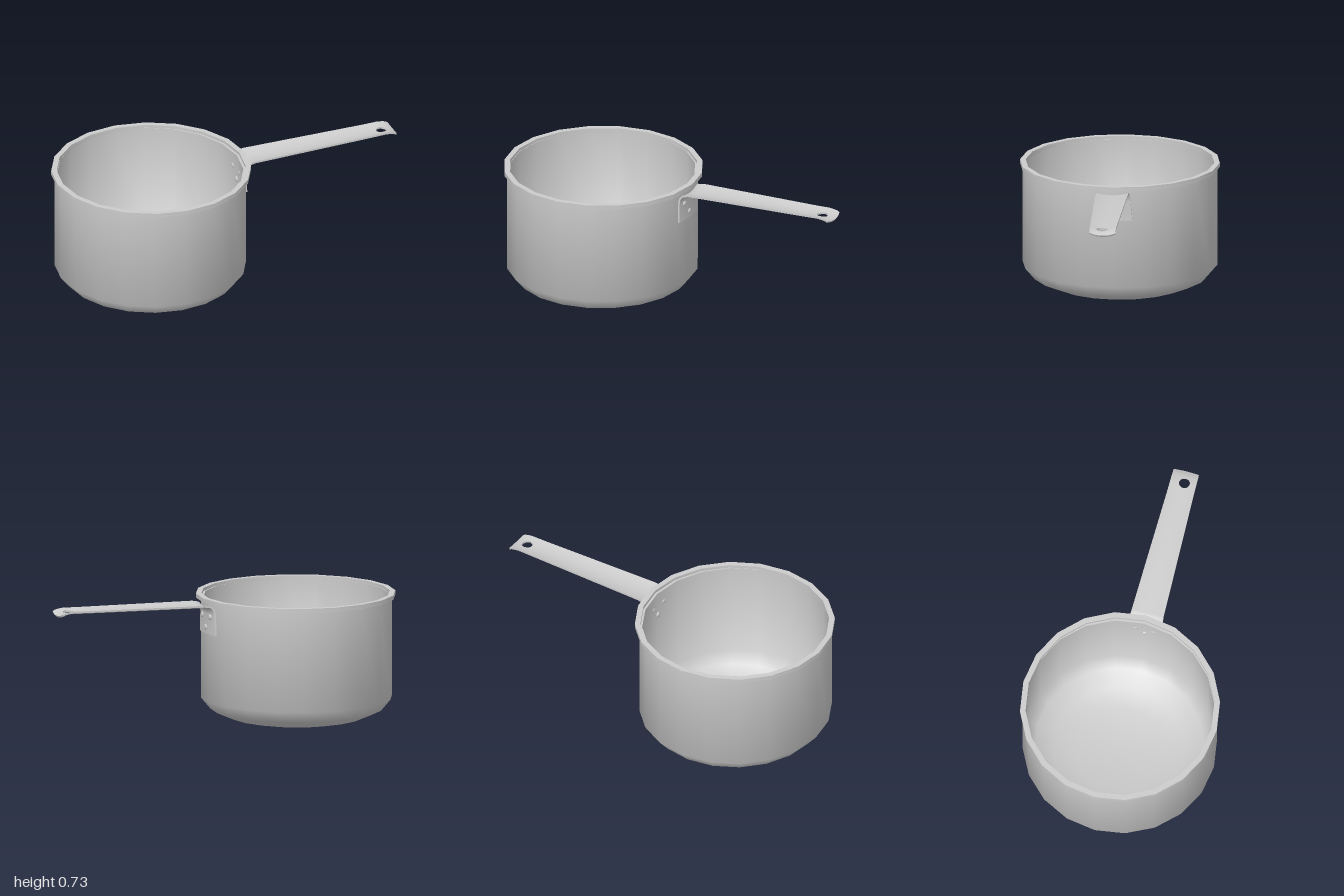
import * as THREE from 'three';
import { toCreasedNormals } from 'three/addons/utils/BufferGeometryUtils.js';

const material = new THREE.MeshStandardMaterial({ color: 0xcccccc, side: THREE.DoubleSide });

function part(name, geometry, parent) {
  const mesh = new THREE.Mesh(geometry, material);
  mesh.name = name;
  parent.add(mesh);
  return mesh;
}

function lathe(profile, sides) {
  const points = profile.map(([r, y]) => new THREE.Vector2(r, y));
  return toCreasedNormals(new THREE.LatheGeometry(points, sides), 0.8);
}

// Handle stations: u, x, y, slope in degrees, left z, right z, edge lift
const stations = [
  [-0.06, 0.09, 0.53, 90, 0.105, -0.108, 0.009],
  [0.06, 0.09, 0.645, 90, 0.102, -0.096, 0.009],
  [0.09, 0.094, 0.667, 70, 0.1, -0.092, 0.01],
  [0.11, 0.107, 0.679, 35, 0.097, -0.09, 0.013],
  [0.14, 0.14, 0.683, 4, 0.093, -0.089, 0.014],
  [0.85, 0.85, 0.702, 2, 0.069, -0.08, 0.012],
  [0.93, 0.93, 0.705, 0, 0.067, -0.08, 0.012],
  [0.97, 0.97, 0.701, -12, 0.066, -0.08, 0.011],
  [1, 0.997, 0.69, -30, 0.063, -0.08, 0.008],
];

// Point on the bent sheet: u along it, v from -1 to 1 across it, side +1 or -1
function sheetPoint(u, v, side) {
  let i = 0;
  while (i < stations.length - 2 && u > stations[i + 1][0]) i++;
  const a = stations[i], b = stations[i + 1];
  const t = (u - a[0]) / (b[0] - a[0]);
  const [, x, y, slope, left, right, lift] = a.map((n, k) => THREE.MathUtils.lerp(n, b[k], t));
  const angle = THREE.MathUtils.degToRad(slope);
  const offset = lift * v * v + side * 0.005;
  return [x - Math.sin(angle) * offset, y + Math.cos(angle) * offset,
    THREE.MathUtils.lerp(right, left, (v + 1) / 2)];
}

// Skin closed loops of points; optionally join last to first or cap the ends
function loft(loops, closed) {
  const n = loops[0].length, m = loops.length, index = [];
  const quad = (a, b, c, d) => index.push(a, b, c, a, c, d);
  for (let i = 0; i < (closed ? m : m - 1); i++) {
    const next = (i + 1) % m;
    for (let j = 0; j < n; j++) {
      const k = (j + 1) % n;
      quad(i * n + j, i * n + k, next * n + k, next * n + j);
    }
  }
  if (!closed) {
    const e = (m - 1) * n;
    for (let j = 0; j < n / 2 - 1; j++) {
      quad(j, n - 1 - j, n - 2 - j, j + 1);
      quad(e + j, e + j + 1, e + n - 2 - j, e + n - 1 - j);
    }
  }
  const geometry = new THREE.BufferGeometry();
  geometry.setAttribute('position', new THREE.Float32BufferAttribute(loops.flat(2), 3));
  geometry.setIndex(index);
  return toCreasedNormals(geometry, 0.8);
}

// Top points in order, then the underside points in reverse
const thickLoop = (uv) => [
  ...uv.map(([u, v]) => sheetPoint(u, v, 1)),
  ...uv.slice().reverse().map(([u, v]) => sheetPoint(u, v, -1)),
];

export function createModel() {
  const model = new THREE.Group();
  model.name = 'saucepan';

  // Pot: outside from the base up, then down the inside
  const body = part('potBody', lathe([
    [0, 0], [0.1, 0.001], [0.25, 0.005], [0.38, 0.03], [0.487, 0.076], [0.541, 0.14], [0.541, 0.71],
    [0.525, 0.71], [0.525, 0.15], [0.472, 0.09], [0.37, 0.045], [0.25, 0.02], [0, 0.015],
  ], 20), model);
  body.position.x = -0.45;
  body.scale.x = 0.982;

  // Rolled rim
  const rim = part('rim', lathe([
    [0.524, 0.703], [0.555, 0.703], [0.555, 0.727], [0.524, 0.727], [0.524, 0.703],
  ], 20), model);
  rim.position.x = -0.445;

  // Handle: mounting plate, bend and long strip
  const handle = new THREE.Group();
  handle.name = 'handle';
  model.add(handle);
  const across = Array.from({ length: 9 }, (_, j) => -1 + j / 4);
  const strip = stations.slice(0, 6).map(([u]) => thickLoop(across.map((v) => [u, v])));
  part('handleStrip', loft(strip, false), handle);

  // Drooping tip with a hanging hole: rings from the hole out to the edge
  const tip = [];
  for (let i = 0; i < 32; i++) {
    const angle = -i / 32 * Math.PI * 2;
    const c = Math.cos(angle), s = Math.sin(angle);
    const k = 1 / Math.max(Math.abs(c), Math.abs(s));
    const inner = [0.925 + 0.03 * c, 0.08 + 0.41 * s];
    const outer = [0.925 + 0.075 * c * k, s * k];
    if (c > 0.7) outer[0] -= 0.012 * outer[1] ** 2;
    tip.push(thickLoop([0, 0.33, 0.67, 1].map((t) => [
      THREE.MathUtils.lerp(inner[0], outer[0], t), THREE.MathUtils.lerp(inner[1], outer[1], t),
    ])));
  }
  part('handleTip', loft(tip, true), handle);

  // Rivets: a flat dome on the plate and one inside the pot
  const dome = new THREE.SphereGeometry(0.017, 12, 8);
  for (const [y, z] of [[0.629, 0.056], [0.629, -0.05], [0.566, 0.003]]) {
    for (const [name, x] of [['outerRivet', 0.093], ['innerRivet', 0.064]]) {
      const rivet = part(name, dome, model);
      rivet.position.set(x - 0.8 * z * z, y, z);
      rivet.scale.x = 0.55;
    }
  }
  return model;
}
